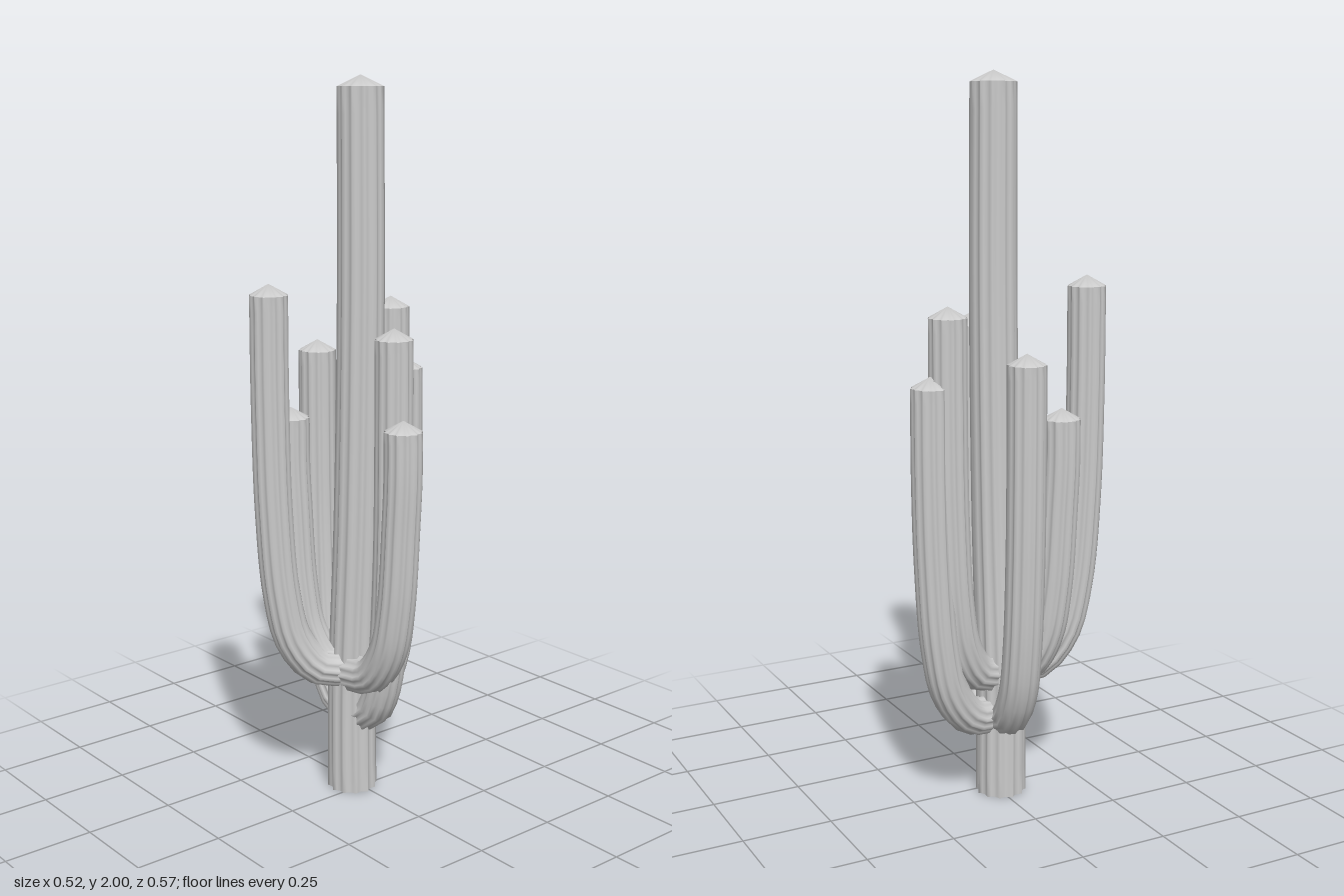
import * as THREE from 'three';

const RIBS = 12, PER_RIB = 4, SIDES = RIBS * PER_RIB;

// Ribbed stem swept along a smooth path, closed by a shallow pointed cap
function stemGeometry(points, r0, r1, steps, capHeight = 0.03) {
  const curve = new THREE.CatmullRomCurve3(points.map(p => new THREE.Vector3(...p)));
  const frames = curve.computeFrenetFrames(steps, false);
  const pos = [], index = [];

  const addRing = i => {
    const c = curve.getPointAt(i / steps);
    const r = THREE.MathUtils.lerp(r0, r1, i / steps);
    const first = pos.length / 3;
    for (let j = 0; j < SIDES; j++) {
      const a = (j / SIDES) * Math.PI * 2;
      // sharp ridges with concave flutes between them
      const rr = r * (1 - 0.13 * Math.abs(Math.sin(a * RIBS / 2)));
      const v = c.clone()
        .addScaledVector(frames.normals[i], Math.cos(a) * rr)
        .addScaledVector(frames.binormals[i], Math.sin(a) * rr);
      pos.push(v.x, v.y, v.z);
    }
    return first;
  };

  // Wall
  for (let i = 0; i <= steps; i++) addRing(i);
  for (let i = 0; i < steps; i++) {
    for (let j = 0; j < SIDES; j++) {
      const a = i * SIDES + j, b = i * SIDES + (j + 1) % SIDES;
      index.push(a, b, a + SIDES, b, b + SIDES, a + SIDES);
    }
  }
  // End caps, with their own rims so the edges stay crisp
  const addCap = (i, height, flip) => {
    const rim = addRing(i), apex = pos.length / 3;
    const p = curve.getPointAt(i / steps).addScaledVector(frames.tangents[i], height);
    pos.push(p.x, p.y, p.z);
    for (let j = 0; j < SIDES; j++) {
      const a = rim + j, b = rim + (j + 1) % SIDES;
      index.push(...(flip ? [b, a, apex] : [a, b, apex]));
    }
  };
  addCap(steps, capHeight, false);
  addCap(0, 0, true);

  const g = new THREE.BufferGeometry();
  g.setAttribute('position', new THREE.Float32BufferAttribute(pos, 3));
  g.setIndex(index);
  g.computeVertexNormals();
  return g;
}

// Arm path: leaves the trunk sideways, sweeps upward and ends vertical
function armPath([sx, sz], startY, [tx, tz], topY) {
  const rise = [[0, 0], [0.4, 0.015], [0.72, 0.1], [0.88, 0.24], [0.97, 0.48]];
  const at = (t, y) => [sx + (tx - sx) * t, y, sz + (tz - sz) * t];
  const path = rise.map(([t, dy]) => at(t, startY + dy));
  const end = topY - 0.03;
  path.push(at(1, (startY + 0.48 + end) / 2), at(1, end));
  return path;
}

export function createModel() {
  const group = new THREE.Group();
  const material = new THREE.MeshStandardMaterial({ color: 0xcccccc });
  const add = (name, geometry) => {
    const mesh = new THREE.Mesh(geometry, material);
    mesh.name = name;
    group.add(mesh);
  };

  // Slightly leaning trunk
  add('trunk', stemGeometry([
    [-0.03, 0, 0.01], [-0.03, 0.3, 0.01], [-0.012, 0.8, 0.004],
    [-0.003, 1.4, 0], [-0.004, 1.97, 0],
  ], 0.071, 0.063, 28));

  // Arms: start x/z, start height, tip x/z, top height
  const arms = [
    ['leftOuterArm', [0, 0.035], 0.36, [0.205, 0.027], 1.12],
    ['leftInnerArm', [-0.02, 0], 0.23, [0.123, -0.01], 1.35],
    ['rightArm', [-0.03, 0.005], 0.23, [-0.205, -0.008], 1.28],
    ['frontTallArm', [-0.03, 0.03], 0.365, [-0.104, 0.232], 1.465],
    ['frontShortArm', [-0.03, 0.02], 0.37, [-0.145, 0.133], 1.115],
    ['backTallArm', [-0.03, -0.01], 0.36, [-0.09, -0.18], 1.4],
    ['backShortArm', [-0.03, -0.01], 0.235, [-0.09, -0.232], 1.22],
  ];
  for (const [name, start, startY, tip, topY] of arms) {
    add(name, stemGeometry(armPath(start, startY, tip, topY), 0.054, 0.053, 28));
  }
  return group;
}
